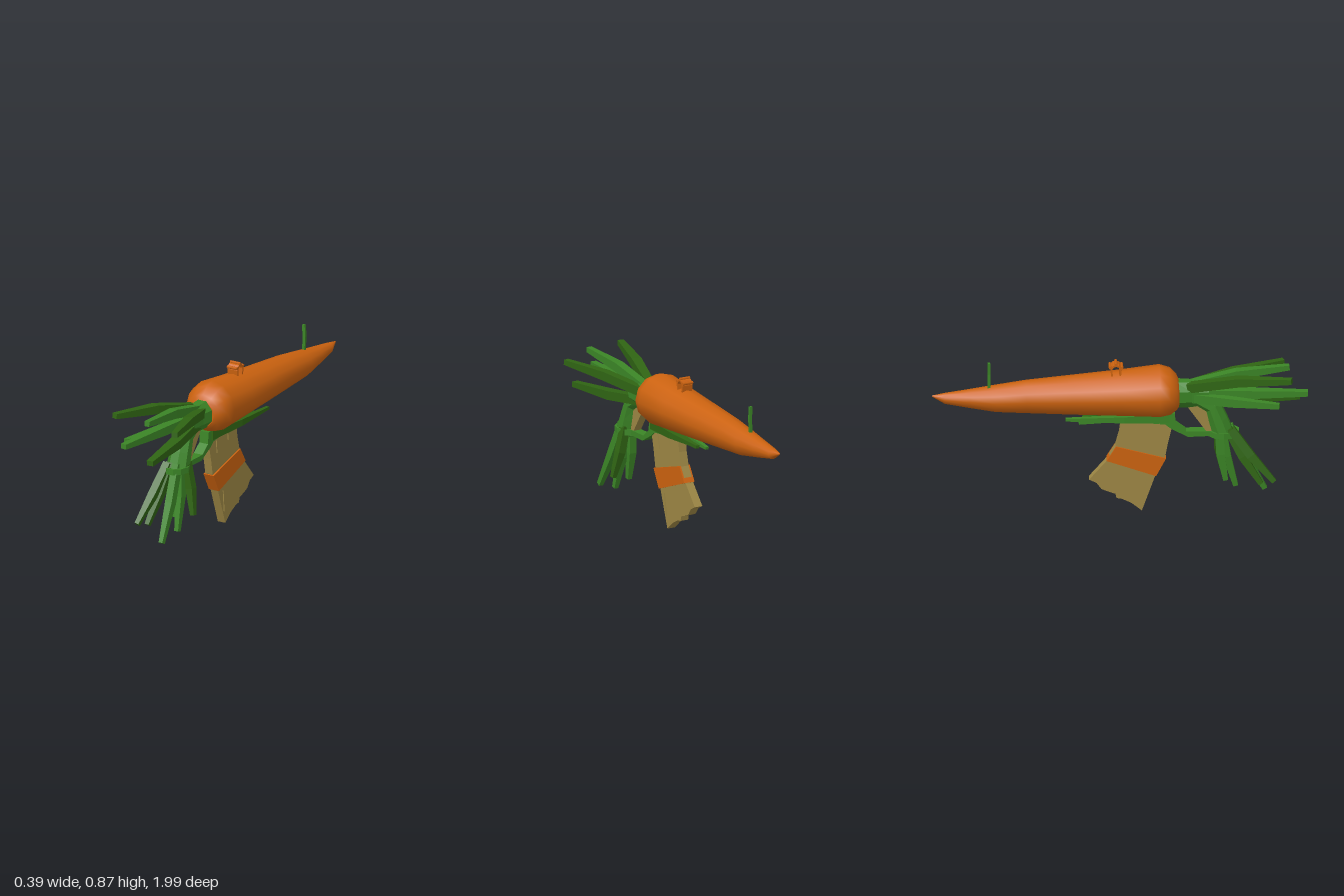
import * as THREE from 'three';

const V = (x, y, z) => new THREE.Vector3(x, y, z);
const CX = -0.005;
const mat = (name, color) => {
  const m = new THREE.MeshStandardMaterial({ color });
  m.name = name;
  return m;
};

// Skin a list of equal-length rings (counter-clockwise about the direction of travel) and cap the ends
function loft(rings, smooth = false) {
  const n = rings[0].length, pos = [], idx = [];
  const push = (p) => { pos.push(p.x, p.y, p.z); return pos.length / 3 - 1; };
  rings.forEach((r) => r.forEach(push));
  for (let i = 0; i < rings.length - 1; i++) for (let j = 0; j < n; j++) {
    const k = (j + 1) % n, a = i * n, b = a + n;
    idx.push(a + j, a + k, b + k, a + j, b + k, b + j);
  }
  const cap = (ring) => {
    const s = ring.map(push)[0];
    for (let j = 1; j < n - 1; j++) idx.push(s, s + j, s + j + 1);
  };
  cap([...rings[0]].reverse());
  cap(rings[rings.length - 1]);
  let g = new THREE.BufferGeometry();
  g.setAttribute('position', new THREE.Float32BufferAttribute(pos, 3));
  g.setIndex(idx);
  if (!smooth) g = g.toNonIndexed();
  g.computeVertexNormals();
  return g;
}

// Sweep a tapering section along points; sizes are [width, thickness] at each point
function sweep(pts, sizes, sides = 4, smooth = false, ref = V(0, 1, 0)) {
  const rings = pts.map((p, i) => {
    const t = pts[Math.min(i + 1, pts.length - 1)].clone().sub(pts[Math.max(i - 1, 0)]).normalize();
    const u = t.clone().cross(ref).normalize(), v = t.clone().cross(u);
    const [w, h] = sizes[i], k = 0.5 / Math.cos(Math.PI / sides);
    return Array.from({ length: sides }, (_, j) => {
      const a = ((j + 0.5) / sides) * Math.PI * 2;
      return p.clone().addScaledVector(u, Math.cos(a) * w * k).addScaledVector(v, Math.sin(a) * h * k);
    });
  });
  return loft(rings, smooth);
}

// Extrude a side outline given as [z, y] across x
function sideExtrude(outline, width, cx, hole) {
  const pts = (o) => o.map(([z, y]) => new THREE.Vector2(-z, y));
  const s = new THREE.Shape(pts(outline));
  if (hole) s.holes.push(new THREE.Path(pts(hole)));
  const g = new THREE.ExtrudeGeometry(s, { depth: width, bevelEnabled: false });
  g.translate(0, 0, -width / 2).rotateY(Math.PI / 2).translate(cx, 0, 0);
  return g;
}

export function createModel() {
  const root = new THREE.Group();
  const orange = mat('carrotOrange', 0xcb620f);
  const dark = mat('leafGreen', 0x2f6413);
  const light = mat('stemGreen', 0x3b8526);
  const wood = mat('wood', 0x9c8644);
  const add = (name, g, m, parent = root) => {
    const mesh = new THREE.Mesh(g, m);
    mesh.name = name;
    parent.add(mesh);
    return mesh;
  };
  const group = (name) => {
    const g = new THREE.Group();
    g.name = name;
    root.add(g);
    return g;
  };

  // Carrot body: z, top, bottom, half width
  const body = [
    [0.312, 0.745, 0.6, 0.075], [0.3, 0.775, 0.583, 0.1], [0.265, 0.812, 0.557, 0.128],
    [0.21, 0.829, 0.547, 0.142], [0.0, 0.802, 0.557, 0.129], [-0.25, 0.779, 0.566, 0.108],
    [-0.5, 0.755, 0.577, 0.088], [-0.66, 0.731, 0.585, 0.074], [-0.8, 0.71, 0.609, 0.051],
    [-0.93, 0.692, 0.633, 0.029], [-0.998, 0.68, 0.674, 0.003],
  ];
  add('carrotBody', loft(body.map(([z, t, b, w]) => Array.from({ length: 12 }, (_, j) => {
    const a = (j / 12) * Math.PI * 2;
    return V(CX - Math.cos(a) * w, (t + b) / 2 + Math.sin(a) * (t - b) / 2, z);
  })), true), orange);

  // Stem stub the muzzle leaves grow from
  add('stemStub', sweep([V(CX, 0.672, 0.29), V(CX, 0.67, 0.38), V(CX, 0.67, 0.47)],
    [[0.13, 0.15], [0.105, 0.145], [0.1, 0.12]], 8), light);

  // Forward leaves: tip x, y, z, width
  const muzzle = group('muzzleLeaves');
  [
    [-0.175, 0.808, 0.905, 0.045], [0.025, 0.8, 0.9, 0.04], [0.183, 0.76, 0.875, 0.042],
    [-0.06, 0.685, 0.995, 0.045], [0.08, 0.605, 0.955, 0.05], [-0.145, 0.65, 0.84, 0.035],
  ].forEach(([x, y, z, w], i) => {
    const tip = V(x, y, z), base = V(CX + x * 0.15, 0.67 + (y - 0.68) * 0.35, 0.36);
    const mid = base.clone().lerp(tip, 0.48);
    mid.y += (y - 0.68) * 0.14;
    add('muzzleLeaf', sweep([base, mid, tip], [[0.045, 0.05], [w * 1.2, 0.048], [w * 0.75, 0.028]]),
      i % 2 ? light : dark, muzzle);
  });

  // Front grip: bent stem bundle with leaves fanning out below the strap
  const grip = group('frontGrip');
  add('gripStem', sweep([V(CX, 0.65, 0.4), V(CX, 0.6, 0.49), V(CX, 0.52, 0.52), V(CX, 0.43, 0.55)],
    [[0.08, 0.08], [0.09, 0.1], [0.1, 0.11], [0.11, 0.12]], 8, false, V(1, 0, 0)).rotateY(0), light, grip);
  [
    [-0.09, 0.185, 0.815], [0.035, 0.09, 0.77], [-0.07, 0.165, 0.745], [0.035, 0.11, 0.615],
    [0.09, 0.19, 0.545], [-0.015, 0.165, 0.56],
  ].forEach(([x, y, z], i) => {
    const base = V(CX + x * 0.4, 0.47, 0.55 + (z - 0.66) * 0.25), tip = V(x, y, z);
    const mid = base.clone().lerp(tip, 0.5).add(V(0, 0, -0.01));
    add('gripLeaf', sweep([base, mid, tip], [[0.04, 0.045], [0.042, 0.045], [0.024, 0.026]], 4, false, V(0, 0, 1)),
      i % 2 ? light : dark, grip);
  });
  add('gripWood', sideExtrude([[0.35, 0.61], [0.45, 0.61], [0.52, 0.45], [0.46, 0.45]], 0.045, CX), wood, grip);

  // Strap: loop around the bundle, running back to the underside
  const strap = group('strap');
  const loop = new THREE.Shape().absellipse(0, 0, 0.067, 0.085, 0, Math.PI * 2);
  loop.holes.push(new THREE.Path().absellipse(0, 0, 0.054, 0.07, 0, Math.PI * 2, true));
  add('strapLoop', new THREE.ExtrudeGeometry(loop, { depth: 0.032, bevelEnabled: false, curveSegments: 5 })
    .rotateX(-Math.PI / 2).translate(CX, 0.425, 0.55), light, strap);
  add('strapTail', sideExtrude([[0.5, 0.43], [0.36, 0.426], [0.27, 0.475], [0.24, 0.5], [0.1, 0.515], [0.1, 0.57],
    [0.29, 0.565], [0.295, 0.5], [0.35, 0.457], [0.5, 0.457]], 0.055, CX), light, strap);

  // Leaves lying back along the underside
  const under = group('underLeaves');
  [[-0.05, 0.55, -0.29], [0.045, 0.545, -0.25], [-0.025, 0.517, -0.22], [0.02, 0.525, -0.2]].forEach(([x, y, z], i) => {
    add('underLeaf', sweep([V(CX + x * 0.4, 0.54, 0.26), V(x, 0.545, 0.02), V(x * 1.1, y, z)],
      [[0.04, 0.05], [0.036, 0.036], [0.02, 0.014]]), i % 2 ? dark : light, under);
  });

  // Rear handle: splintered plank with a wrapped band
  const handle = group('handle');
  add('handlePlank', sideExtrude([
    [0.275, 0.485], [0.255, 0.4], [0.238, 0.31], [0.185, 0.2], [0.115, 0], [0.06, 0.045], [0.01, 0.07],
    [-0.02, 0.075], [-0.025, 0.1], [-0.075, 0.118], [-0.1, 0.13], [-0.125, 0.165], [-0.165, 0.185],
    [-0.075, 0.29], [-0.025, 0.375], [-0.005, 0.45], [0.01, 0.56], [0.24, 0.56]], 0.047, -0.008), wood, handle);
  add('handleBand', sideExtrude([[0.243, 0.305], [0.19, 0.203], [-0.072, 0.296], [-0.022, 0.378]],
    0.064, -0.008), orange, handle);
  // Raised splinters on both faces
  for (const s of [-1, 1]) for (const [z, y, h] of [[0.2, 0.42, 0.1], [0.09, 0.46, 0.08], [0.13, 0.07, 0.12]]) {
    add('splinter', sideExtrude([[z, y], [z - 0.012, y], [z + 0.01, y + h]], 0.008, -0.008 + s * 0.025), wood, handle);
  }

  // Rear sight: folded arch with beaded edges
  const sight = group('rearSight');
  const arc = (r, n) => Array.from({ length: n + 1 }, (_, i) => {
    const a = (i / n) * Math.PI;
    return [-0.022 + Math.cos(a) * r, 0.825 + Math.sin(a) * r];
  });
  add('sightArch', sideExtrude([[0.004, 0.785], ...arc(0.03, 6), [-0.048, 0.785], [-0.038, 0.785],
    ...arc(0.02, 6).reverse(), [-0.006, 0.785]], 0.062, -0.008), orange, sight);
  for (const [z, y] of [[0.009, 0.838], [-0.022, 0.857], [-0.053, 0.838]]) {
    const bead = add('sightBead', new THREE.CylinderGeometry(0.008, 0.008, 0.062, 6).rotateZ(Math.PI / 2), orange, sight);
    bead.position.set(-0.008, y, z);
  }

  // Front sight: a thin sprout
  add('frontSight', sweep([V(-0.008, 0.715, -0.695), V(-0.005, 0.8, -0.695), V(-0.008, 0.865, -0.695)],
    [[0.016, 0.014], [0.016, 0.014], [0.017, 0.013]], 4, false, V(0, 0, 1)), light);

  return root;
}
